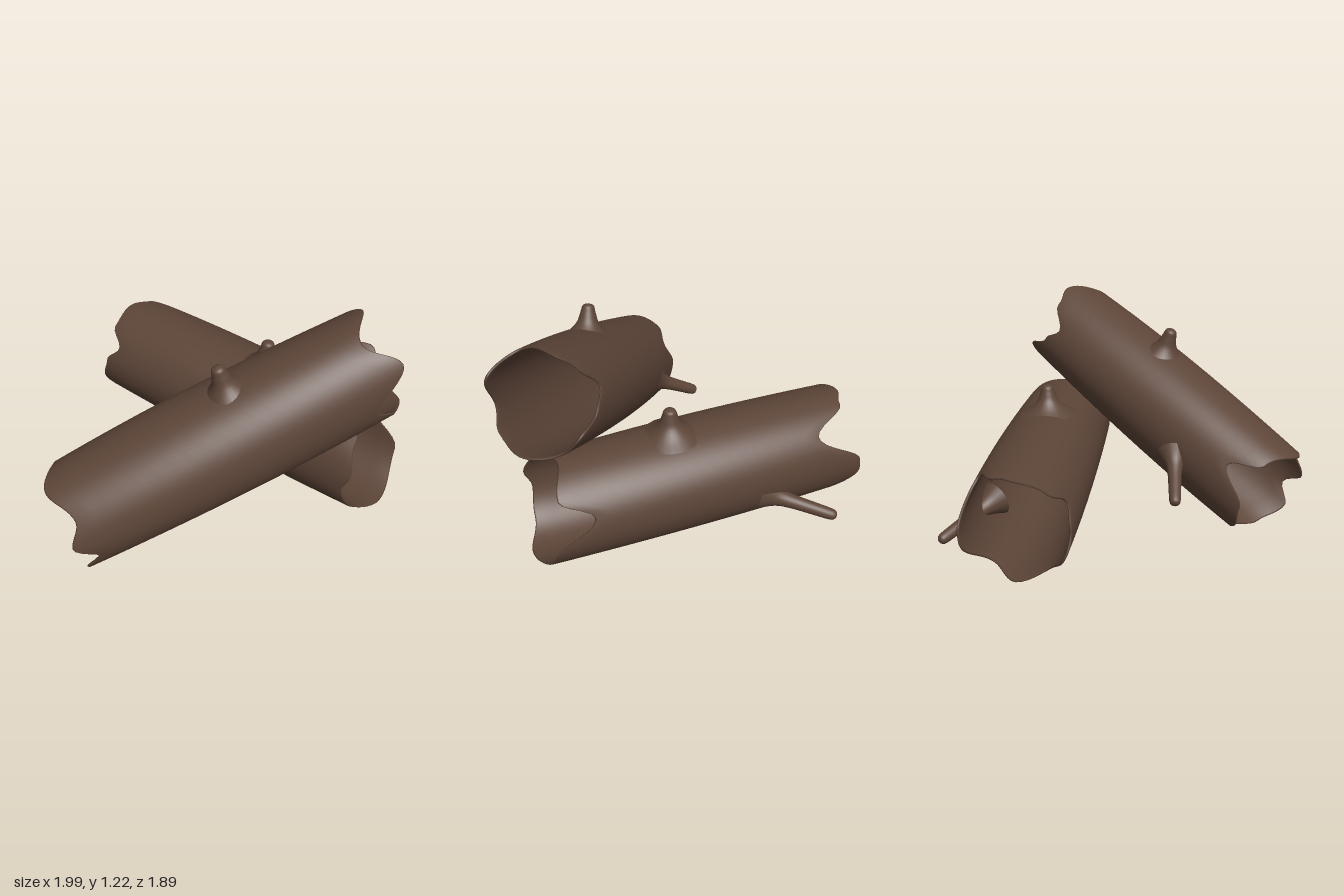
import * as THREE from 'three';

const bark = new THREE.MeshStandardMaterial({ color: 0x5d4538 });
bark.name = 'brown bark';

const SIDES = 72, STEPS = 18, WALL = 0.014;

// Smooth periodic rim: [angle in degrees, position along the axis]
function rimAt(points, deg) {
  const n = points.length;
  for (let i = 0; i < n; i++) {
    const [a0, s0] = points[i];
    const [a1raw, s1] = points[(i + 1) % n];
    const a1 = i === n - 1 ? a1raw + 360 : a1raw;
    const d = deg < a0 ? deg + 360 : deg;
    if (d >= a0 && d <= a1) {
      const k = (1 - Math.cos(Math.PI * (d - a0) / (a1 - a0))) / 2;
      return s0 + (s1 - s0) * k;
    }
  }
  return points[0][1];
}

// Hollow log along local z: outer wall, rounded torn rim, inner wall, closed in a loop
function logGeometry(lowRim, highRim, radius) {
  const rows = [];
  for (let j = 0; j <= STEPS; j++) rows.push([j / STEPS, 0]);
  rows.push([1, 0.5]);
  for (let j = STEPS; j >= 0; j--) rows.push([j / STEPS, 1]);
  rows.push([0, 0.5]);
  const pos = [], index = [];
  for (const [v, depth] of rows) {
    for (let i = 0; i < SIDES; i++) {
      const deg = i * 360 / SIDES, a = deg * Math.PI / 180;
      const lo = rimAt(lowRim, deg), hi = rimAt(highRim, deg);
      let s = lo + (hi - lo) * v;
      const r = radius(s) * (1 + 0.012 * Math.sin(3 * a + 2 * s)) - WALL * depth;
      if (depth === 0.5) s += v > 0.5 ? 0.007 : -0.007;
      pos.push(r * Math.cos(a), r * Math.sin(a), s);
    }
  }
  const n = rows.length;
  for (let j = 0; j < n; j++) {
    for (let i = 0; i < SIDES; i++) {
      const k = (i + 1) % SIDES, m = (j + 1) % n;
      const a = j * SIDES + i, b = j * SIDES + k, c = m * SIDES + k, d = m * SIDES + i;
      index.push(a, b, c, a, c, d);
    }
  }
  const g = new THREE.BufferGeometry();
  g.setAttribute('position', new THREE.Float32BufferAttribute(pos, 3));
  g.setIndex(index);
  g.computeVertexNormals();
  return g;
}

function makeLog(name, center, direction, low, high, radius) {
  const mesh = new THREE.Mesh(logGeometry(low, high, radius), bark);
  mesh.name = name;
  const d = new THREE.Vector3(...direction).normalize();
  const side = new THREE.Vector3(0, 1, 0).cross(d).normalize();
  const up = d.clone().cross(side);
  mesh.quaternion.setFromRotationMatrix(new THREE.Matrix4().makeBasis(side, up, d));
  mesh.position.set(...center);
  return mesh;
}

// Turned stub from a base point to a tip; profile is [radius, fraction of length]
function makeStub(name, base, tip, profile) {
  const from = new THREE.Vector3(...base), dir = new THREE.Vector3(...tip).sub(from);
  const len = dir.length();
  const curve = new THREE.SplineCurve(profile.map(([r, f]) => new THREE.Vector2(r, f * len)));
  const pts = curve.getPoints(28).map(p => new THREE.Vector2(Math.max(p.x, 0), p.y));
  const mesh = new THREE.Mesh(new THREE.LatheGeometry(pts, 24), bark);
  mesh.name = name;
  mesh.position.copy(from);
  mesh.quaternion.setFromUnitVectors(new THREE.Vector3(0, 1, 0), dir.normalize());
  return mesh;
}

const KNOT = [[0.16, 0], [0.1, 0.23], [0.06, 0.48], [0.042, 0.75], [0.03, 0.94], [0, 1]];
const BRANCH = [[0.1, 0], [0.055, 0.2], [0.04, 0.4], [0.035, 0.7], [0.031, 0.93], [0.018, 0.99], [0, 1]];

export function createModel() {
  const root = new THREE.Group();
  root.name = 'hollowLogs';

  // Log leaning over the other one; angle 0 = back, 90 = top, 180 = front
  const leaning = new THREE.Group();
  leaning.name = 'leaningLog';
  leaning.add(
    makeLog('leaningTrunk', [-0.075, 0.62, 0.607], [1.59, 0.7, 0.09],
      [[0, -0.85], [30, -0.66], [55, -0.82], [100, -0.885], [145, -0.8], [172, -0.883], [195, -0.8],
        [216, -0.9], [255, -0.855], [290, -0.8], [335, -0.865]],
      [[0, 0.78], [20, 0.71], [45, 0.84], [72, 0.9], [118, 0.8], [155, 0.93], [196, 0.73],
        [222, 0.81], [260, 0.885], [300, 0.86], [330, 0.91]],
      s => 0.303 - 0.03 * s * s),
    makeStub('leaningKnot', [-0.055, 0.89, 0.615], [-0.12, 1.08, 0.615], KNOT),
    makeStub('leaningBranch', [-0.37, 0.45, 0.33], [-0.555, 0.27, 0.09], BRANCH));
  root.add(leaning);

  // Log lying on the ground; angle 0 = right side, 90 = top, 180 = left side
  const lying = new THREE.Group();
  lying.name = 'lyingLog';
  lying.add(
    makeLog('lyingTrunk', [0.227, 0.316, -0.146], [0.54, 0, 0.84],
      [[0, -0.77], [40, -0.52], [70, -0.72], [95, -0.77], [130, -0.75], [152, -0.65], [172, -0.73],
        [205, -0.78], [235, -0.68], [270, -0.74], [300, -0.6], [345, -0.78]],
      [[20, 0.765], [45, 0.93], [92, 0.87], [130, 0.96], [165, 1.0], [190, 0.96], [225, 0.98],
        [270, 1.05], [340, 0.98]],
      s => 0.307 - 0.022 * s * s),
    makeStub('lyingKnot', [0.365, 0.595, 0.067], [0.37, 0.77, 0.067], KNOT),
    makeStub('lyingBranch', [0.31, 0.23, -0.43], [0.32, 0.12, -0.85], BRANCH));
  root.add(lying);

  return root;
}
